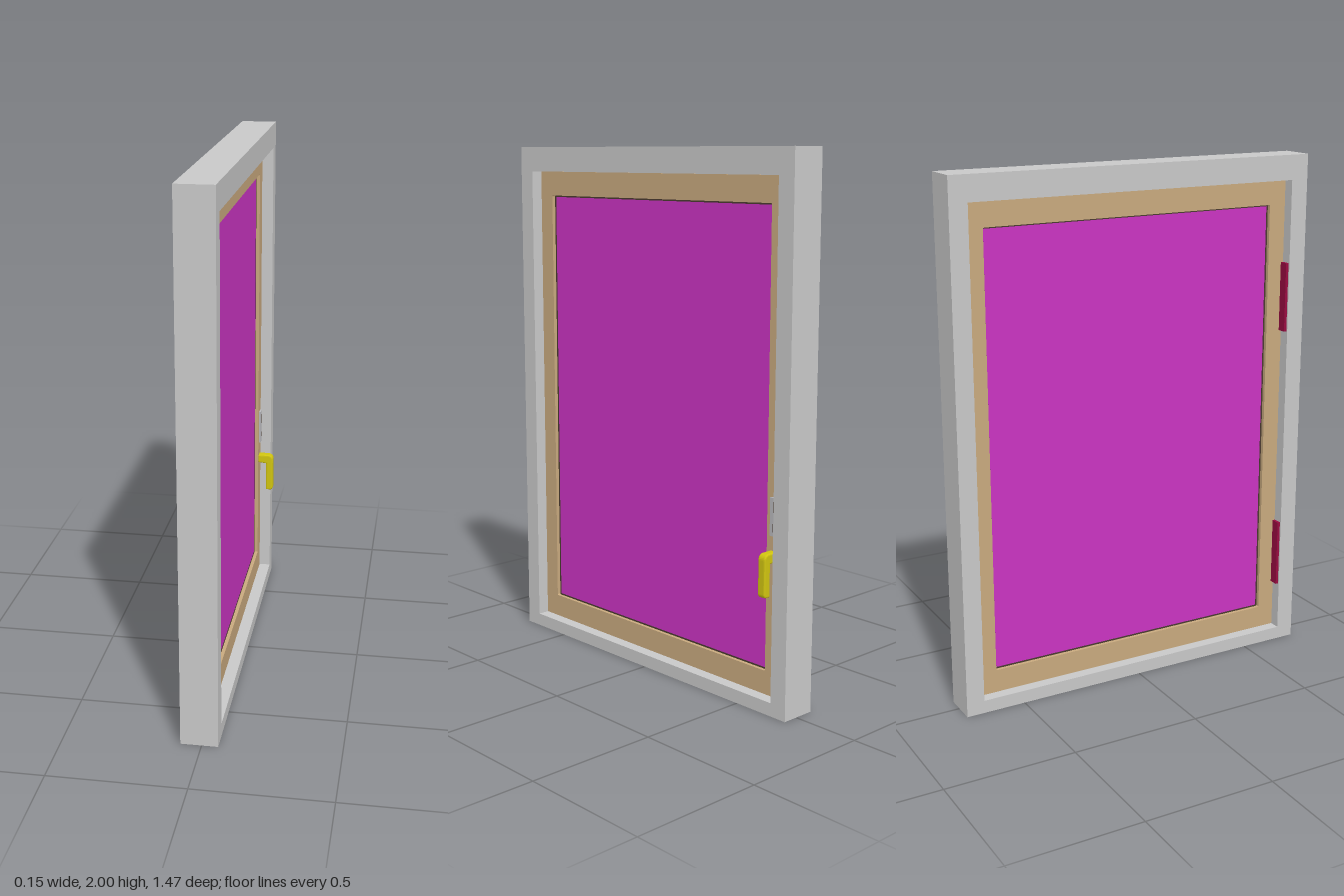
import * as THREE from 'three';

const paint = (name, color, side = THREE.FrontSide) => {
  const m = new THREE.MeshStandardMaterial({ color, side });
  m.name = name;
  return m;
};

// Rectangle in the (z, y) plane, with slightly rounded corners when r > 0
function rect(PathType, halfWidth, y0, y1, r = 0) {
  const p = new PathType();
  const w = halfWidth;
  p.moveTo(-w + r, y0);
  p.lineTo(w - r, y0);
  if (r) p.quadraticCurveTo(w, y0, w, y0 + r);
  p.lineTo(w, y1 - r);
  if (r) p.quadraticCurveTo(w, y1, w - r, y1);
  p.lineTo(-w + r, y1);
  if (r) p.quadraticCurveTo(-w, y1, -w, y1 - r);
  p.lineTo(-w, y0 + r);
  if (r) p.quadraticCurveTo(-w, y0, -w + r, y0);
  return p;
}

// Rectangular ring standing in the z-y plane, from x0 to x1
function ring(outer, inner, x0, x1) {
  const shape = rect(THREE.Shape, ...outer);
  shape.holes.push(rect(THREE.Path, ...inner));
  const g = new THREE.ExtrudeGeometry(shape, { depth: x1 - x0, bevelEnabled: false, curveSegments: 4 });
  return g.rotateY(Math.PI / 2).translate(x0, 0, 0);
}

// Box given by its limits
function box(x0, x1, y0, y1, z0, z1) {
  return new THREE.BoxGeometry(x1 - x0, y1 - y0, z1 - z0)
    .translate((x0 + x1) / 2, (y0 + y1) / 2, (z0 + z1) / 2);
}

export function createModel() {
  const model = new THREE.Group();
  model.name = 'window';
  const grey = paint('frame grey', 0xc8c8c8);
  const wood = paint('sash wood', 0xc8a97e);
  const magenta = paint('pane magenta', 0xca34c2);
  const dark = paint('seal dark', 0x4a3a30);
  const yellow = paint('handle yellow', 0xd0c410);
  const crimson = paint('hinge crimson', 0x980c40);
  const silver = paint('lock silver', 0xb8b8bc);

  const add = (name, geometry, material) => {
    const mesh = new THREE.Mesh(geometry, material);
    mesh.name = name;
    model.add(mesh);
    return mesh;
  };

  // Fixed frame, sash, seal and pane
  add('outerFrame', ring([0.735, 0, 2], [0.665, 0.05, 1.905], -0.077, 0.06), grey);
  add('sash', ring([0.664, 0.051, 1.904, 0.006], [0.595, 0.14, 1.81, 0.006], -0.035, 0.015), wood);
  add('seal', ring([0.595, 0.14, 1.81, 0.006], [0.589, 0.146, 1.804], -0.021, 0.001), dark);
  add('pane', box(-0.02, 0, 0.143, 1.807, -0.592, 0.592), magenta);

  // Hinge leaves on the jamb opposite the handle
  for (const y of [0.38, 1.45]) {
    add('hinge', box(-0.071, -0.035, y - 0.135, y + 0.135, 0.654, 0.666), crimson);
  }

  // Lock plate with its slot and keyhole
  const lockZ = -0.63;
  add('lockPlate', box(0.015, 0.022, 0.65, 0.79, lockZ - 0.016, lockZ + 0.016), silver);
  add('lockSlot', box(0.022, 0.0225, 0.735, 0.775, lockZ - 0.002, lockZ + 0.002), dark);
  add('keyhole', box(0.022, 0.0225, 0.665, 0.695, lockZ - 0.003, lockZ + 0.003), dark);

  // L-shaped handle: neck out of the sash, grip hanging down
  const b = 0.006;
  const profile = new THREE.Shape();
  profile.moveTo(0.015, 0.589);
  profile.lineTo(0.015, 0.566);
  profile.lineTo(0.053, 0.561);
  profile.lineTo(0.053, 0.441);
  profile.lineTo(0.066, 0.441);
  profile.quadraticCurveTo(0.071, 0.442, 0.071, 0.45);
  profile.lineTo(0.071, 0.572);
  profile.quadraticCurveTo(0.071, 0.586, 0.057, 0.589);
  profile.closePath();
  const handle = new THREE.ExtrudeGeometry(profile, {
    depth: 0.022, bevelThickness: b, bevelSize: b, bevelSegments: 3, curveSegments: 6,
  });
  add('handle', handle.translate(0, 0, lockZ + 0.003 - 0.011), yellow);

  return model;
}
